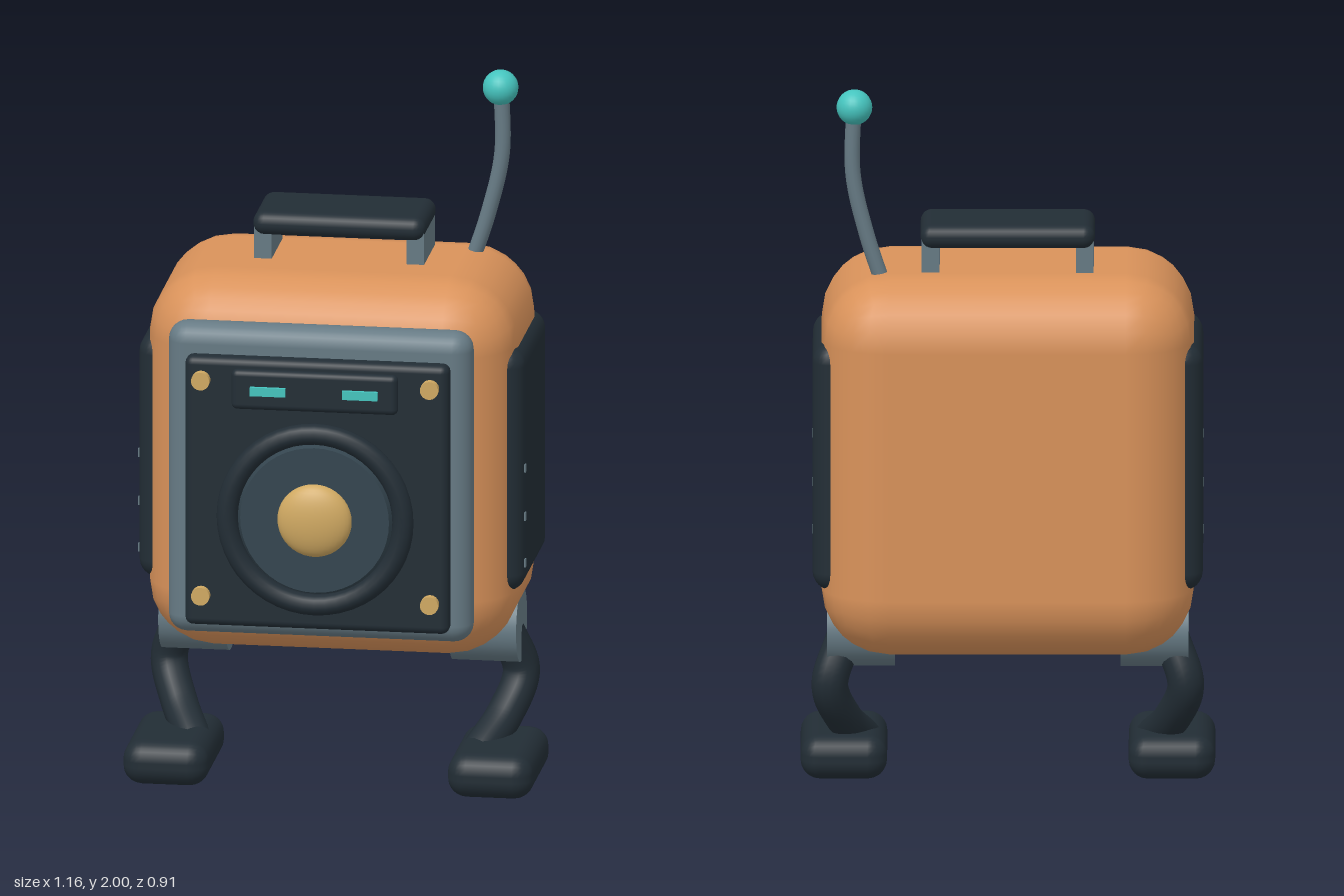
import * as THREE from 'three';
import { RoundedBoxGeometry } from 'three/addons/geometries/RoundedBoxGeometry.js';

const paint = (color) => new THREE.MeshStandardMaterial({ color });

export function createModel() {
  const model = new THREE.Group();
  const orange = paint(0xd9925a), steel = paint(0x667a84), dark = paint(0x222d35);
  const cone = paint(0x34454f), brass = paint(0xd0a962), teal = paint(0x45c4be);

  const add = (name, geometry, material, x, y, z) => {
    const mesh = new THREE.Mesh(geometry, material);
    mesh.name = name;
    mesh.position.set(x, y, z);
    model.add(mesh);
    return mesh;
  };
  const rounded = (w, h, d, r, segments = 3) => new RoundedBoxGeometry(w, h, d, segments, r);
  const box = (w, h, d) => new THREE.BoxGeometry(w, h, d);
  const tube = (points, r) => new THREE.TubeGeometry(
    new THREE.CatmullRomCurve3(points.map((p) => new THREE.Vector3(...p))), 28, r, 14);

  // Cabinet and front panel
  add('body', rounded(1.04, 1.09, 0.685, 0.19), orange, 0, 0.935, -0.115);
  add('frontFrame', rounded(0.86, 0.9, 0.11, 0.054), steel, 0, 0.94, 0.28);
  add('frontPanel', rounded(0.745, 0.78, 0.07, 0.022), dark, 0, 0.92, 0.34);

  // Speaker
  add('speakerRing', new THREE.TorusGeometry(0.248, 0.03, 14, 48), dark, 0, 0.86, 0.4);
  add('speakerCone', new THREE.CylinderGeometry(0.21, 0.225, 0.04, 48), cone, 0, 0.86, 0.39)
    .rotation.x = Math.PI / 2;
  add('speakerDome', new THREE.SphereGeometry(0.105, 32, 20), brass, 0, 0.86, 0.41)
    .scale.z = 0.43;

  // Display strip with two lights
  add('display', rounded(0.47, 0.115, 0.035, 0.017), dark, 0, 1.232, 0.403);

  // Carrying handle
  add('handleGrip', rounded(0.487, 0.067, 0.25, 0.032), dark, 0, 1.582, -0.16);

  // Antenna
  add('antenna', tube([[0.34, 1.42, -0.245], [0.395, 1.59, -0.245],
    [0.432, 1.76, -0.245], [0.43, 1.95, -0.245]], 0.022), steel, 0, 0, 0);
  add('antennaTip', new THREE.SphereGeometry(0.05, 24, 16), teal, 0.428, 1.95, -0.245);

  for (const s of [-1, 1]) {
    const side = s > 0 ? 'left' : 'right';
    add(side + 'HandlePost', box(0.05, 0.13, 0.21), steel, s * 0.215, 1.51, -0.16);
    add(side + 'Light', box(0.1, 0.025, 0.015), teal, s * 0.13, 1.232, 0.424);

    // Side panel and its small vent slots
    add(side + 'SidePanel', rounded(0.12, 0.71, 0.48, 0.055), dark, s * 0.485, 0.935, -0.12);
    for (const y of [0.665, 0.8, 0.94])
      add(side + 'Vent', box(0.02, 0.024, 0.012), steel, s * 0.537, y, 0.075);

    // Corner screws
    for (const y of [0.625, 1.25])
      add(side + 'Screw', new THREE.CylinderGeometry(0.026, 0.026, 0.022, 18), brass,
        s * 0.323, y, 0.4).rotation.x = Math.PI / 2;

    // Leg: hip joint, curved shin and foot
    add(side + 'Hip', new THREE.CylinderGeometry(0.106, 0.106, 0.19, 32), steel,
      s * 0.41, 0.428, -0.125).rotation.z = Math.PI / 2;
    add(side + 'Shin', tube([[s * 0.455, 0.41, -0.145], [s * 0.497, 0.28, -0.177],
      [s * 0.46, 0.17, -0.11], [s * 0.405, 0.09, -0.01]], 0.052), dark, 0, 0, 0);
    add(side + 'Foot', rounded(0.242, 0.126, 0.39, 0.055), dark, s * 0.458, 0.063, 0.002);
  }
  return model;
}
